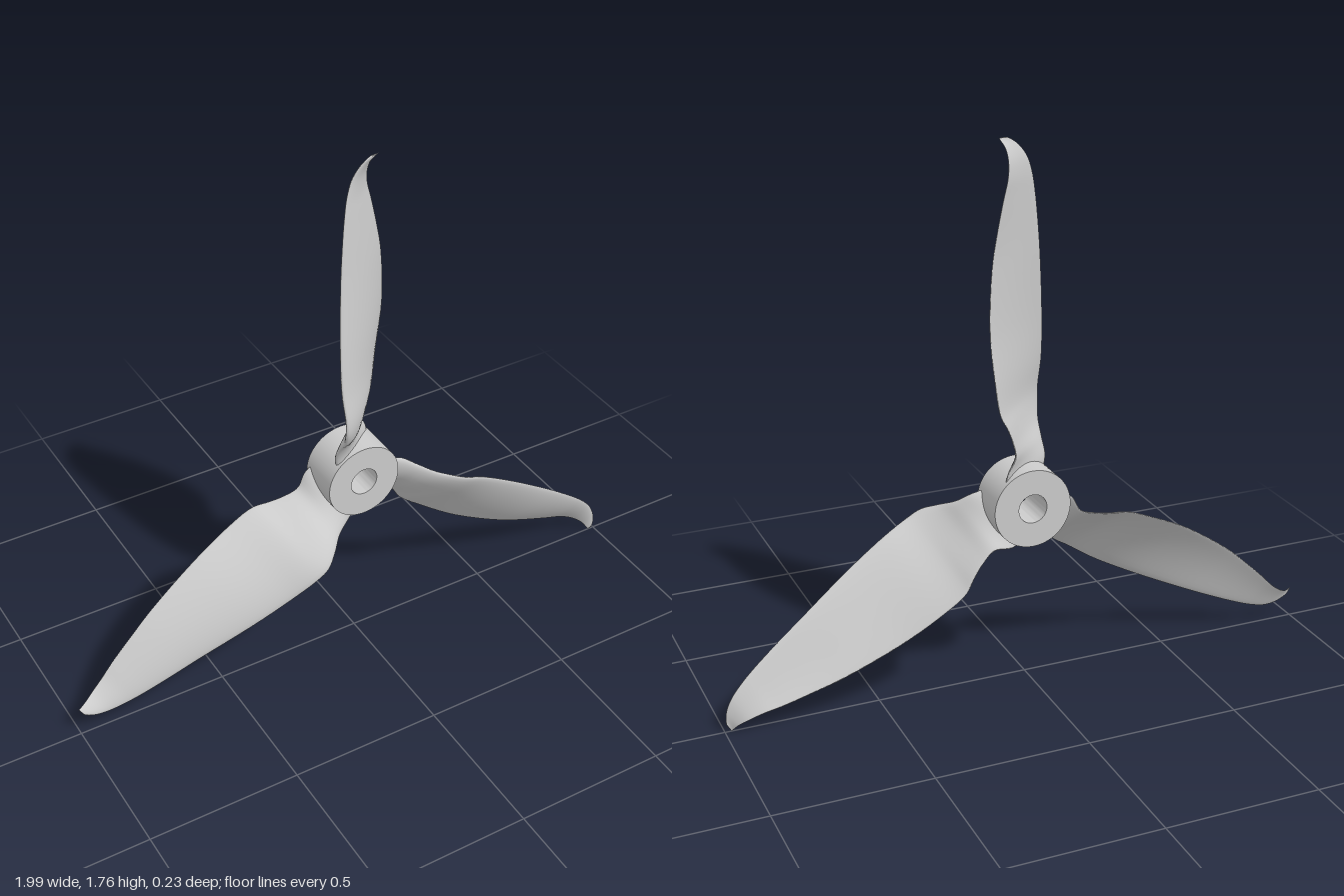
import * as THREE from 'three';
import { toCreasedNormals } from 'three/addons/utils/BufferGeometryUtils.js';

const HUB_X = 0.02, HUB_Y = 0.63;

// Blade stations: height, leading edge x and z, trailing edge x and z
const STATIONS = [
  [0.70, -0.065, 0.01, 0.105, -0.095],
  [0.75, -0.077, 0.02, 0.098, -0.10],
  [0.80, -0.075, 0.045, 0.07, -0.097],
  [0.85, -0.08, 0.085, 0.08, -0.10],
  [0.90, -0.09, 0.11, 0.10, -0.107],
  [0.95, -0.092, 0.112, 0.126, -0.112],
  [1.05, -0.097, 0.095, 0.14, -0.105],
  [1.20, -0.09, 0.073, 0.148, -0.085],
  [1.40, -0.07, 0.042, 0.132, -0.065],
  [1.50, -0.058, 0.03, 0.112, -0.057],
  [1.60, -0.043, 0.018, 0.088, -0.051],
  [1.66, -0.03, 0.01, 0.071, -0.045],
  [1.71, -0.012, 0.005, 0.065, -0.034],
  [1.745, 0.013, 0.005, 0.068, -0.018],
  [1.765, 0.038, 0.005, 0.077, -0.004],
  [1.772, 0.052, 0.004, 0.08, 0],
];

// Thin twisted airfoil lofted between the leading and trailing edge curves
function bladeGeometry(rows = 64, sides = 28) {
  const edge = (k) => new THREE.CatmullRomCurve3(
    STATIONS.map((s) => new THREE.Vector3(s[k] - HUB_X, s[0] - HUB_Y, s[k + 1])));
  const leading = edge(1), trailing = edge(3);
  const pos = [], index = [];
  for (let i = 0; i <= rows; i++) {
    const L = leading.getPoint(i / rows), R = trailing.getPoint(i / rows);
    const chord = R.clone().sub(L);
    const normal = new THREE.Vector3(-chord.z, 0, chord.x).normalize();
    const span = (L.y - 0.07) / 1.072;
    const thick = 0.005 + 0.033 * Math.pow(Math.max(0, 1 - span), 0.7);
    for (let j = 0; j < sides; j++) {
      const a = (j / sides) * Math.PI * 2;
      const u = (1 - Math.cos(a)) / 2;
      const camber = 0.05 * chord.length() * 4 * u * (1 - u);
      const h = camber + Math.sin(a) * thick * 0.65 * (1 - 0.6 * u);
      const p = L.clone().addScaledVector(chord, u).addScaledVector(normal, h);
      pos.push(p.x, p.y, p.z);
    }
  }
  for (let i = 0; i < rows; i++) {
    for (let j = 0; j < sides; j++) {
      const a = i * sides + j, b = i * sides + (j + 1) % sides;
      index.push(a, b, b + sides, a, b + sides, a + sides);
    }
  }
  // End caps at root and tip
  const tip = rows * sides;
  for (let j = 1; j < sides - 1; j++) {
    index.push(0, j + 1, j, tip, tip + j, tip + j + 1);
  }
  const g = new THREE.BufferGeometry();
  g.setAttribute('position', new THREE.Float32BufferAttribute(pos, 3));
  g.setIndex(index);
  g.computeVertexNormals();
  return g;
}

// Cylindrical hub with a through bore
function hubGeometry() {
  const profile = [[0.047, -0.115], [0.127, -0.115], [0.127, 0.03], [0.047, 0.03], [0.047, -0.115]]
    .map(([r, z]) => new THREE.Vector2(r, z));
  const g = new THREE.LatheGeometry(profile, 72);
  g.rotateX(Math.PI / 2);
  return toCreasedNormals(g, Math.PI / 5);
}

export function createModel() {
  const material = new THREE.MeshStandardMaterial({ color: 0xcccccc });
  const model = new THREE.Group();
  model.name = 'propeller';

  const hub = new THREE.Mesh(hubGeometry(), material);
  hub.name = 'hub';
  hub.position.set(HUB_X, HUB_Y, 0);
  model.add(hub);

  // Three equal blades around the hub
  const geometry = bladeGeometry();
  ['topBlade', 'rightBlade', 'leftBlade'].forEach((name, i) => {
    const blade = new THREE.Mesh(geometry, material);
    blade.name = name;
    blade.position.copy(hub.position);
    blade.rotation.z = (i * Math.PI * 2) / 3;
    model.add(blade);
  });
  return model;
}
